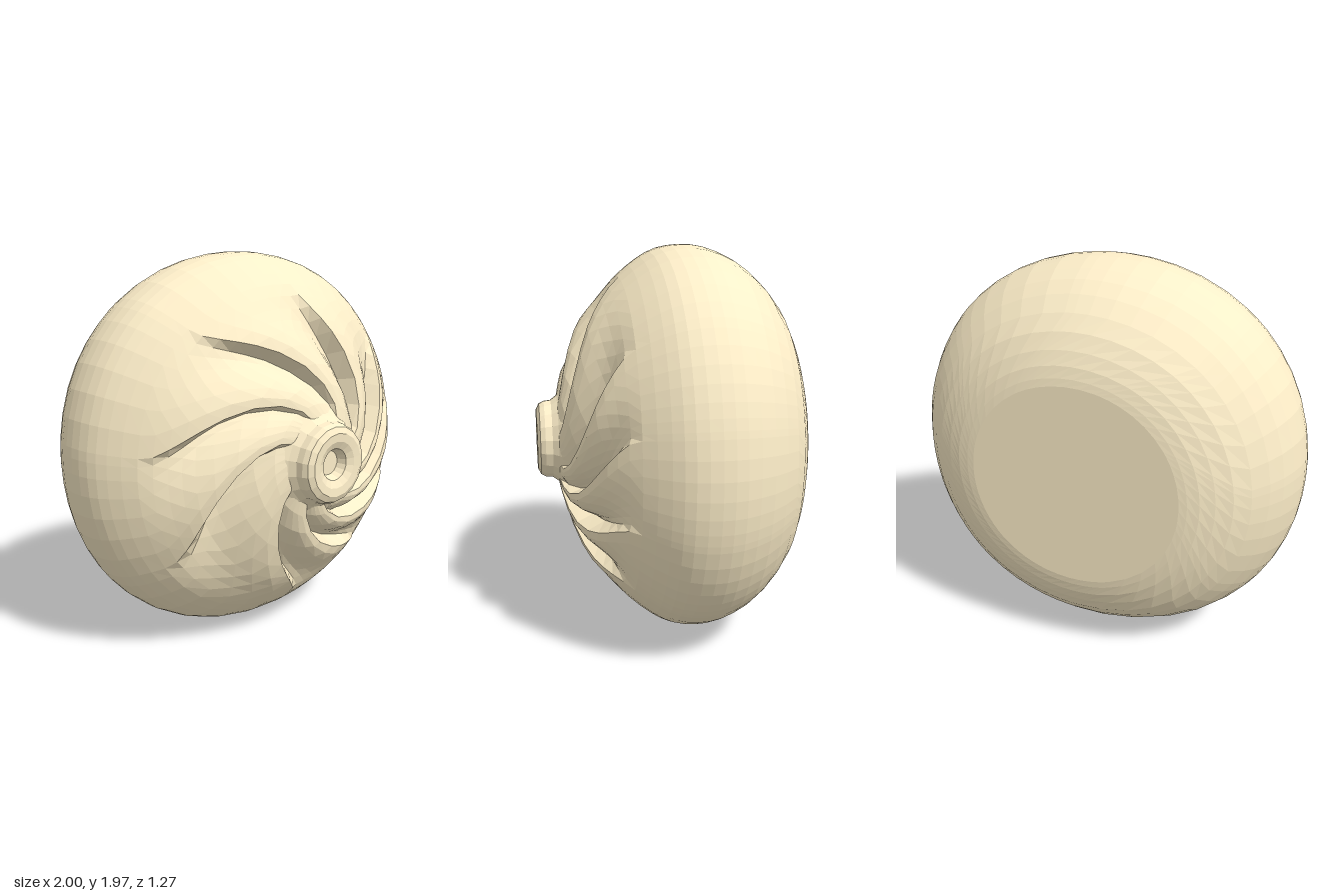
import * as THREE from 'three';

const CENTRE_Y = 0.985;
const dough = new THREE.MeshStandardMaterial({ color: 0xfdeec9, flatShading: true });
const { smoothstep, degToRad } = THREE.MathUtils;

// Angle of each pleat where it fades out, counter-clockwise
const PLEATS = [-146, -84, -48, -18, 12, 40, 85, 130, 174];
// Steps across a pleat: [share of the sector, height], from the groove floor up to the crest
const STEPS = [[0.07, -1], [0.18, -0.85], [0.32, -0.52], [0.48, -0.2], [0.65, 0.05], [0.83, 0.18], [1, 0.1]];

// Pleats curl clockwise towards the middle
const twist = (r) => -degToRad(63) * Math.pow(Math.max(0, 0.82 - r) / 0.56, 1.4);
// Pleats are deepest half way out and vanish at the rim
const depth = (r, z) => (z < 0 ? 0 : 0.085 * smoothstep(r, 0.17, 0.5) * (1 - smoothstep(r, 0.56, 0.86)));
// The outline is slightly squared, a little lower than wide
const outline = (a, r) => 1 + 0.016 * r * Math.sin(2 * a) ** 2;

function bunGeometry() {
  const columns = [];
  PLEATS.forEach((a, i) => {
    const next = i + 1 < PLEATS.length ? PLEATS[i + 1] : PLEATS[0] + 360;
    for (const [t, h] of STEPS) columns.push([degToRad(a + (next - a) * t), h]);
  });

  // Side profile (radius, z) from the front middle to the edge of the flat base
  const curve = new THREE.SplineCurve([
    [0.1, 0.55], [0.22, 0.53], [0.4, 0.475], [0.6, 0.39], [0.72, 0.315], [0.83, 0.22], [0.93, 0.1],
    [0.983, 0], [1, -0.12], [0.982, -0.24], [0.91, -0.39], [0.77, -0.535], [0.62, -0.612], [0.52, -0.635],
  ].map(([r, z]) => new THREE.Vector2(r, z)));

  const positions = [], index = [];
  const rings = 28, n = columns.length;
  for (let i = 0; i <= rings; i++) {
    const p = curve.getPoint(i / rings), t = curve.getTangent(i / rings);
    for (const [angle, h] of columns) {
      const push = h * depth(p.x, p.y);
      const a = angle + twist(p.x);
      const r = (p.x - t.y * push) * outline(a, p.x), z = p.y + t.x * push;
      positions.push(r * Math.cos(a), r * Math.sin(a) * 0.985, z);
    }
  }
  // Split each cell along its short diagonal
  for (let i = 0; i < rings; i++) {
    for (let j = 0; j < n; j++) {
      const k = (j + 1) % n;
      const a = i * n + j, b = (i + 1) * n + j, c = (i + 1) * n + k, d = i * n + k;
      index.push(a, b, d, b, c, d);
    }
  }
  // Flat base
  positions.push(0, 0, -0.635);
  for (let j = 0; j < n; j++) index.push(rings * n + j, (rings + 1) * n, rings * n + (j + 1) % n);

  const geometry = new THREE.BufferGeometry();
  geometry.setAttribute('position', new THREE.Float32BufferAttribute(positions, 3));
  geometry.setIndex(index);
  geometry.computeVertexNormals();
  return geometry;
}

// Pinched ring of dough with a dimple in the middle
function knobGeometry() {
  const profile = [
    [0.27, 0.49], [0.225, 0.53], [0.202, 0.56], [0.198, 0.595], [0.185, 0.62], [0.155, 0.635],
    [0.115, 0.632], [0.078, 0.615], [0.06, 0.57], [0, 0.57],
  ].map(([r, z]) => new THREE.Vector2(r, z));
  return new THREE.LatheGeometry(profile, 18).rotateX(Math.PI / 2);
}

export function createModel() {
  const group = new THREE.Group();
  group.name = 'steamedBun';
  const add = (name, geometry) => {
    const mesh = new THREE.Mesh(geometry, dough);
    mesh.name = name;
    mesh.position.y = CENTRE_Y;
    group.add(mesh);
  };
  add('pleatedBody', bunGeometry());
  add('pinchedKnob', knobGeometry());
  return group;
}
